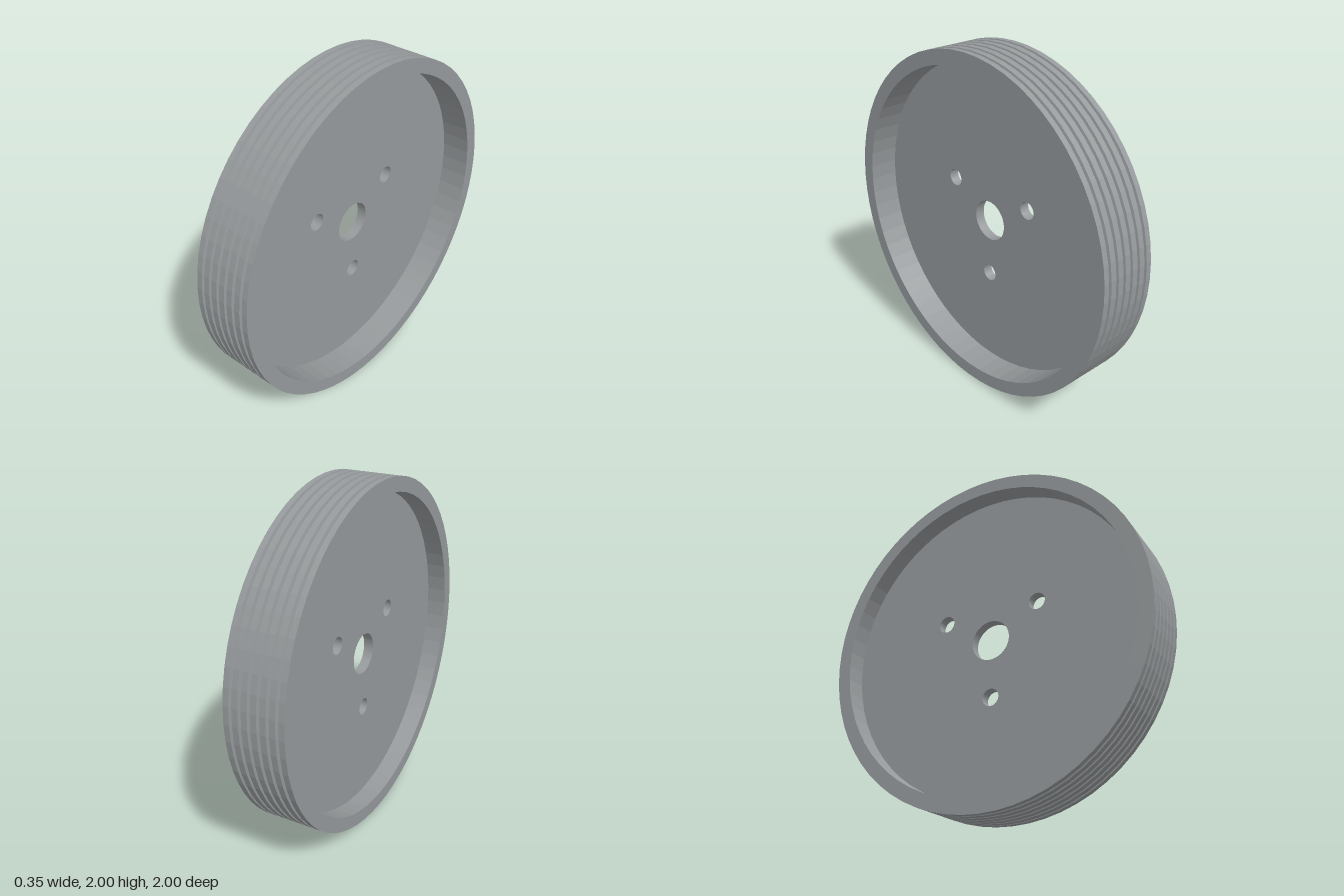
import * as THREE from 'three';

const SEGMENTS = 64;
const HALF_WIDTH = 0.173;
const INNER_RADIUS = 0.917;
const WEB_THICKNESS = 0.058;

// Closed rim section as (radius, axial position), with V grooves on the outside
function rimProfile() {
  const grooves = 6, pitch = 0.0525, halfGroove = 0.009, depth = 0.026;
  const points = [[INNER_RADIUS, -HALF_WIDTH], [1, -HALF_WIDTH]];
  for (let i = 0; i < grooves; i++) {
    const a = (i - (grooves - 1) / 2) * pitch;
    points.push([1, a - halfGroove], [1 - depth, a - 0.002], [1 - depth, a + 0.002], [1, a + halfGroove]);
  }
  points.push([1, HALF_WIDTH], [INNER_RADIUS, HALF_WIDTH], [INNER_RADIUS, -HALF_WIDTH]);
  return points.map(([r, a]) => new THREE.Vector2(r, a));
}

function circle(PathType, x, y, radius) {
  const path = new PathType();
  path.absarc(x, y, radius, 0, Math.PI * 2, false);
  return path;
}

export function createModel() {
  const model = new THREE.Group();
  model.name = 'groovedPulley';
  const material = new THREE.MeshStandardMaterial({ color: 0x969a9c, flatShading: true });

  // Grooved rim, its axis turned onto x
  const rim = new THREE.Mesh(
    new THREE.LatheGeometry(rimProfile(), SEGMENTS).rotateZ(-Math.PI / 2), material);
  rim.name = 'groovedRim';

  // Web plate with the shaft bore and three bolt holes
  const plate = circle(THREE.Shape, 0, 0, INNER_RADIUS + 0.003);
  plate.holes.push(circle(THREE.Path, 0, 0, 0.118));
  for (let i = 0; i < 3; i++) {
    const angle = -Math.PI / 2 + i * Math.PI * 2 / 3;
    plate.holes.push(circle(THREE.Path, 0.343 * Math.cos(angle), 0.343 * Math.sin(angle), 0.05));
  }
  const webGeometry = new THREE.ExtrudeGeometry(plate, {
    depth: WEB_THICKNESS, bevelEnabled: false, curveSegments: SEGMENTS / 2,
  });
  const web = new THREE.Mesh(webGeometry.rotateY(Math.PI / 2), material);
  web.name = 'webPlate';
  web.position.x = -WEB_THICKNESS; // the recess is deeper on the +x side

  model.add(rim, web);
  model.position.y = 1;
  return model;
}
